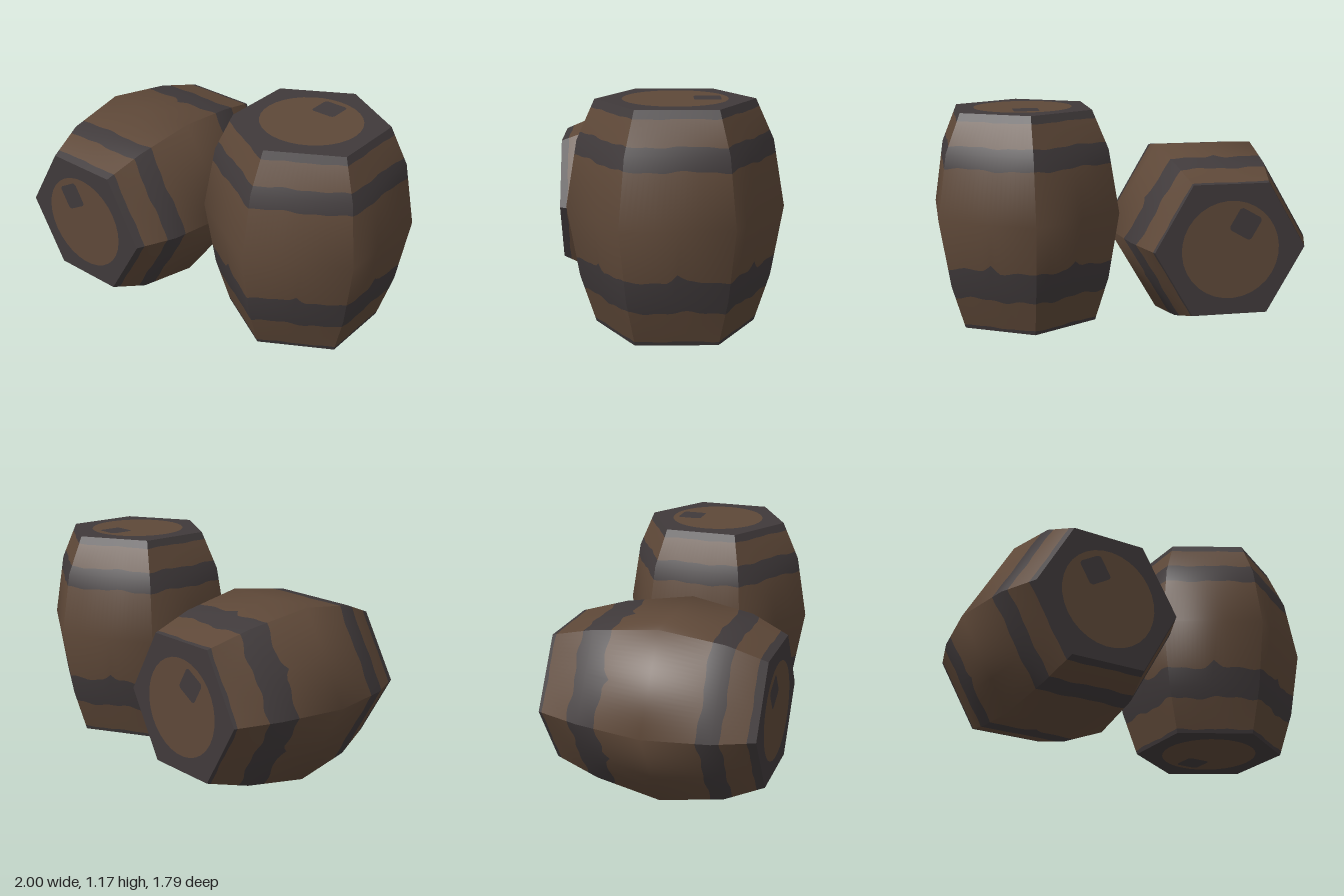
import * as THREE from 'three';

const SIDES = 6, COLS = 20;

// Barrel half-profile: [y, corner radius], from top to bottom
const PROFILE = [[0.565, 0.39], [0.365, 0.48], [0.03, 0.537], [-0.325, 0.475], [-0.565, 0.397]];

// Rows down the side: [y, waviness, spike height, material of the strip below (0 wood, 1 iron)]
const ROWS = [
  [0.565, 0, 0, 1], [0.525, 0.003, 0, 0],
  [0.405, 0.006, 0, 1], [0.365, 0, 0, 1], [0.295, 0.008, 0, 0],
  [0.03, 0, 0, 0],
  [-0.225, 0.011, 0.035, 1], [-0.325, 0, 0, 1], [-0.385, 0.012, 0, 0],
  [-0.545, 0.004, 0, 1], [-0.565, 0, 0, 1],
];

function radiusAt(y) {
  for (let i = 0; i < PROFILE.length - 1; i++) {
    const [y0, r0] = PROFILE[i], [y1, r1] = PROFILE[i + 1];
    if (y >= y1 || i === PROFILE.length - 2) return r0 + (r1 - r0) * (y - y0) / (y1 - y0);
  }
}

// Ragged outline of the painted hoops
function ragged(u, amp, spike) {
  const wave = Math.sin(u * 9.42 + 1) * 0.6 + Math.sin(u * 20.94 + amp * 300) * 0.4;
  const d = Math.abs((u % 1) - 0.5);
  return amp * wave + spike * Math.max(0, 1 - d / 0.08);
}

// Six flat sides, creased near the ends and softened at the belly
function sideGeometry() {
  const pos = [], nor = [], idx = [];
  const geo = new THREE.BufferGeometry();
  const stride = SIDES * (COLS + 1);
  for (const [y0, amp, spike] of ROWS) {
    for (let s = 0; s < SIDES; s++) {
      const a0 = s * Math.PI / 3, a1 = a0 + Math.PI / 3, am = a0 + Math.PI / 6;
      for (let c = 0; c <= COLS; c++) {
        const t = c / COLS;
        const y = y0 + ragged(s + t, amp, spike);
        const dx = Math.cos(a0) * (1 - t) + Math.cos(a1) * t;
        const dz = Math.sin(a0) * (1 - t) + Math.sin(a1) * t;
        const r = radiusAt(y);
        pos.push(dx * r, y, dz * r);
        const slope = (radiusAt(y + 0.1) - radiusAt(y - 0.1)) / 0.2;
        const k = Math.min(1, Math.abs(y) / 0.5);
        const n = new THREE.Vector3(
          dx * (1 - k) + Math.cos(am) * k, -slope, dz * (1 - k) + Math.sin(am) * k).normalize();
        nor.push(n.x, n.y, n.z);
      }
    }
  }
  for (let r = 0; r < ROWS.length - 1; r++) {
    const start = idx.length;
    for (let s = 0; s < SIDES; s++) {
      for (let c = 0; c < COLS; c++) {
        const a = r * stride + s * (COLS + 1) + c, b = a + 1;
        idx.push(a, b, b + stride, a, b + stride, a + stride);
      }
    }
    geo.addGroup(start, idx.length - start, ROWS[r][3]);
  }
  geo.setIndex(idx);
  geo.setAttribute('position', new THREE.Float32BufferAttribute(pos, 3));
  geo.setAttribute('normal', new THREE.Float32BufferAttribute(nor, 3));
  return geo;
}

// Square bung with rounded corners
function bungShape(h, r) {
  const s = new THREE.Shape();
  s.absarc(h - r, h - r, r, 0, Math.PI / 2);
  s.absarc(-h + r, h - r, r, Math.PI / 2, Math.PI);
  s.absarc(-h + r, -h + r, r, Math.PI, Math.PI * 1.5);
  s.absarc(h - r, -h + r, r, Math.PI * 1.5, Math.PI * 2);
  return s;
}

function makeBarrel(name, wood, iron) {
  const barrel = new THREE.Group();
  barrel.name = name;
  const add = (part, geo, mat) => {
    const m = new THREE.Mesh(geo, mat);
    m.name = part;
    barrel.add(m);
  };
  add('staves', sideGeometry(), [wood, iron]);
  // Both ends: iron hexagon, round wooden lid, bung near one corner
  for (const [end, dir, radius] of [['top', 1, 0.39], ['bottom', -1, 0.397]]) {
    const place = (geo, lift) => geo.rotateX(-dir * Math.PI / 2).translate(0, dir * (0.565 + lift), 0);
    add(end + 'Rim', place(new THREE.CircleGeometry(radius, SIDES), 0), iron);
    add(end + 'Lid', place(new THREE.CircleGeometry(0.258, 32), 0.002), wood);
    const bung = new THREE.ShapeGeometry(bungShape(0.066, 0.02), 4).translate(0.155, 0, 0);
    add(end + 'Bung', place(bung, 0.004), iron);
  }
  return barrel;
}

// Point the barrel's top along `up` and its bung corner along `side`
function orient(barrel, up, side, position) {
  const y = up.normalize();
  const z = new THREE.Vector3().crossVectors(side, y).normalize();
  const x = new THREE.Vector3().crossVectors(y, z);
  barrel.quaternion.setFromRotationMatrix(new THREE.Matrix4().makeBasis(x, y, z));
  barrel.position.copy(position);
}

export function createModel() {
  const wood = new THREE.MeshStandardMaterial({ color: 0x5e4838 });
  wood.name = 'brown wood';
  const iron = new THREE.MeshStandardMaterial({ color: 0x403a3b });
  iron.name = 'dark iron';

  const model = new THREE.Group();
  model.name = 'barrels';
  const V = (x, y, z) => new THREE.Vector3(x, y, z);

  const upright = makeBarrel('uprightBarrel', wood, iron);
  const a = THREE.MathUtils.degToRad(-50.5);
  orient(upright, V(0, 1, 0), V(Math.cos(a), 0, Math.sin(a)), V(0.47, 0.605, 0.39));

  const lying = makeBarrel('lyingBarrel', wood, iron);
  orient(lying, V(-0.645, 0, 0.764), V(-0.382, 0.866, -0.3225), V(-0.34, 0.47, -0.21));

  model.add(upright, lying);
  return model;
}
